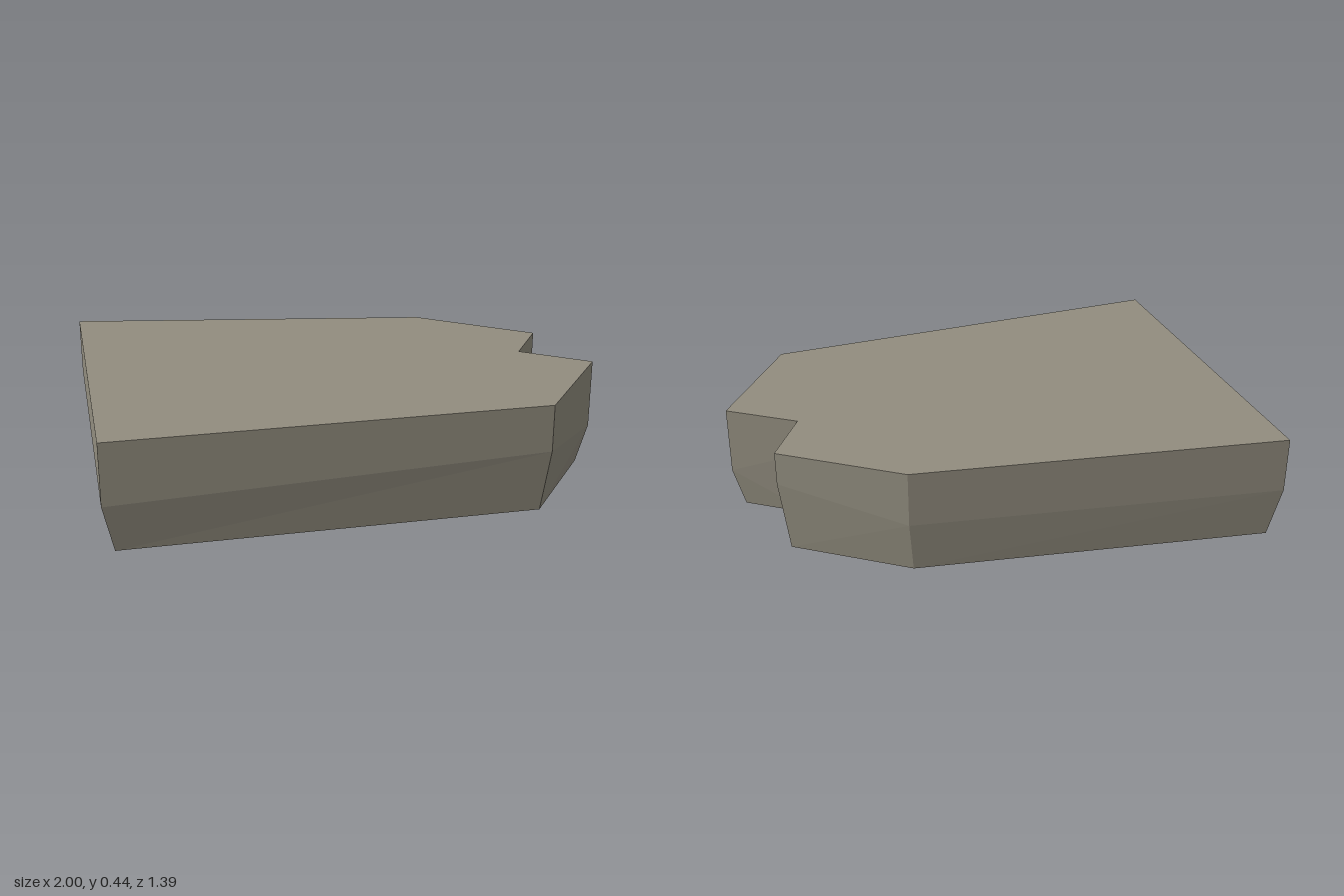
import * as THREE from 'three';

// Outline corners seen from above: x, z, height where the taper starts, foot x, foot z
const CORNERS = [
  [-1, 0.697, 0.19, -0.96, 0.67],
  [0.68, 0.697, 0.25, 0.653, 0.67],
  [1, 0.273, 0.16, 0.957, 0.262],
  [0.75, 0.093, 0.285, 0.722, 0.09],
  [0.89, -0.122, 0.3, 0.853, -0.12],
  [0.46, -0.44, 0.21, 0.443, -0.425],
  [-1, -0.697, 0.21, -0.96, -0.67],
];
const HEIGHT = 0.437;
const NOTCH = 2; // side whose lower quad is split along its other diagonal

// Flat-shaded mesh from a list of triangles
function facetMesh(name, triangles, material) {
  const geometry = new THREE.BufferGeometry().setFromPoints(triangles.flat());
  geometry.computeVertexNormals();
  const mesh = new THREE.Mesh(geometry, material);
  mesh.name = name;
  return mesh;
}

// Triangles for a band between two rings of corners
function band(low, high, flipped = -1) {
  return low.flatMap((a, i) => {
    const j = (i + 1) % low.length;
    const b = low[j], c = high[j], d = high[i];
    return i === flipped ? [[a, b, d], [b, c, d]] : [[a, b, c], [a, c, d]];
  });
}

// Triangles filling a ring, facing up or down
function cap(ring, up) {
  const flat = ring.map((p) => new THREE.Vector2(p.x, -p.z));
  return THREE.ShapeUtils.triangulateShape(flat, []).map(([a, b, c]) =>
    up ? [ring[a], ring[b], ring[c]] : [ring[a], ring[c], ring[b]]);
}

export function createModel() {
  const stone = new THREE.MeshStandardMaterial({ color: 0x928d7f, flatShading: true });
  stone.name = 'stone';

  const foot = CORNERS.map(([, , , x, z]) => new THREE.Vector3(x, 0, z));
  const waist = CORNERS.map(([x, z, y]) => new THREE.Vector3(x, y, z));
  const rim = CORNERS.map(([x, z]) => new THREE.Vector3(x, HEIGHT, z));

  const slab = new THREE.Group();
  slab.name = 'brokenSlab';
  slab.add(
    facetMesh('topFace', cap(rim, true), stone),
    facetMesh('upperSides', band(waist, rim), stone),
    facetMesh('taperedSides', band(foot, waist, NOTCH), stone),
    facetMesh('underside', cap(foot, false), stone),
  );
  return slab;
}
